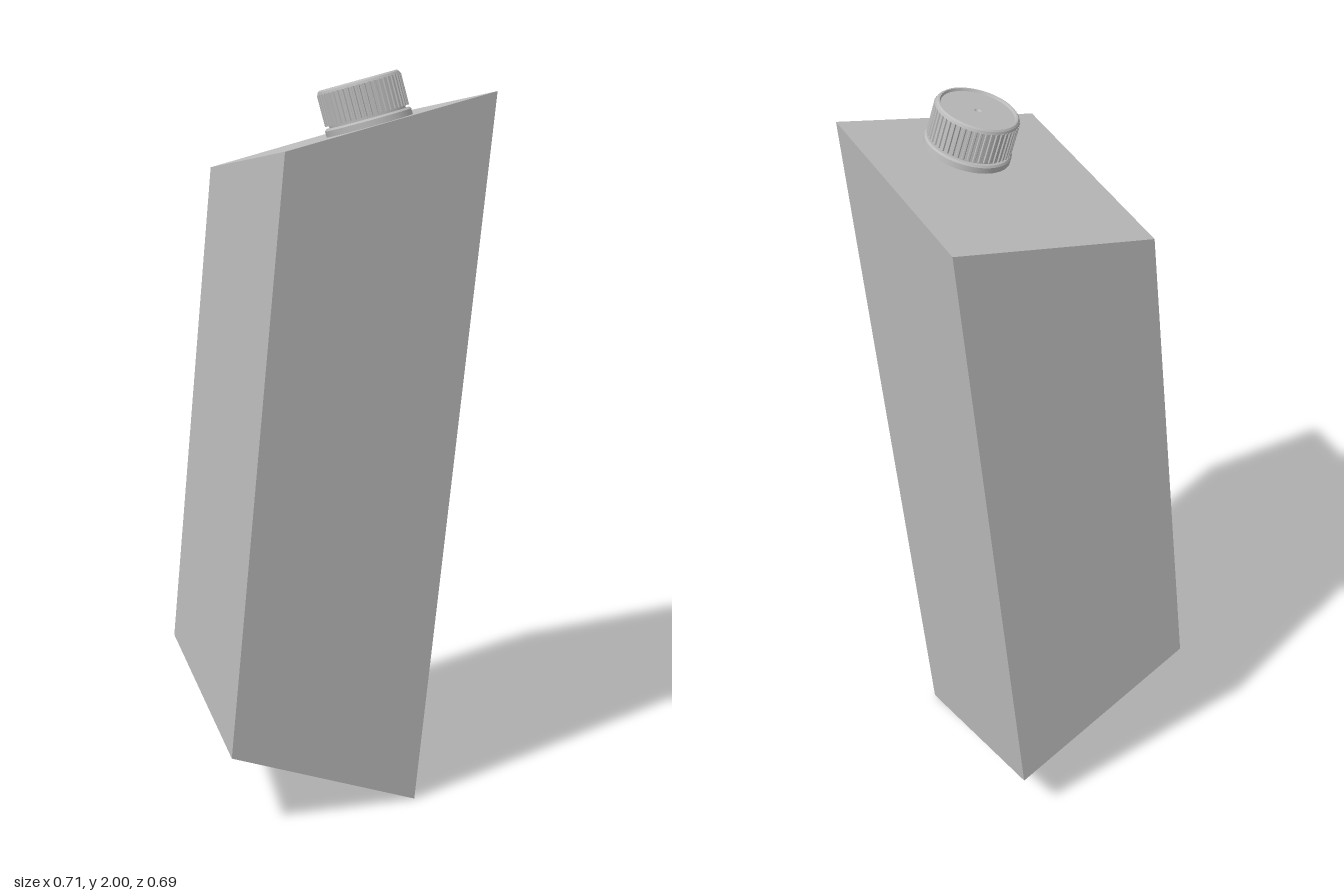
import * as THREE from 'three';

// Corner points of the leaning carton: [left/right][back/front] at the bottom and the top
const BOTTOM = {
  '-1,1': [-0.357, 0.225, 0.257], '1,1': [0.19, 0, 0.23],
  '1,-1': [0.222, 0.155, -0.345], '-1,-1': [-0.327, 0.37, -0.317],
};
const TOP = {
  '-1,1': [-0.232, 1.815, 0.343], '1,1': [0.345, 1.945, 0.333],
  '1,-1': [0.355, 1.855, -0.253], '-1,-1': [-0.22, 1.723, -0.243],
};

// Box whose eight corners are moved to the carton's corners
function cartonGeometry() {
  const geo = new THREE.BoxGeometry(2, 2, 2);
  const p = geo.attributes.position;
  for (let i = 0; i < p.count; i++) {
    const corners = p.getY(i) > 0 ? TOP : BOTTOM;
    p.setXYZ(i, ...corners[`${Math.sign(p.getX(i))},${Math.sign(p.getZ(i))}`]);
  }
  geo.computeVertexNormals();
  return geo;
}

// Gear-like ring of grip ribs around the cap
function ribGeometry(count, inner, outer, height) {
  const shape = new THREE.Shape();
  const step = (Math.PI * 2) / count;
  for (let i = 0; i < count; i++) {
    [[0, inner], [0.42, inner], [0.55, outer], [0.87, outer]].forEach(([f, r], k) => {
      const a = (i + f) * step;
      shape[i + k ? 'lineTo' : 'moveTo'](Math.cos(a) * r, Math.sin(a) * r);
    });
  }
  shape.closePath();
  const hole = new THREE.Path();
  hole.absarc(0, 0, 0.1, 0, Math.PI * 2, true);
  shape.holes.push(hole);
  return new THREE.ExtrudeGeometry(shape, { depth: height, bevelEnabled: false, curveSegments: 24 })
    .rotateX(-Math.PI / 2);
}

// Lathe with a hard edge at every profile point
function creasedLathe(points, segments, group, name, material) {
  const part = new THREE.Group();
  part.name = name;
  for (let i = 0; i < points.length - 1; i++) {
    const pair = [points[i], points[i + 1]].map(([r, y]) => new THREE.Vector2(r, y));
    const mesh = new THREE.Mesh(new THREE.LatheGeometry(pair, segments), material);
    mesh.name = `${name}Band${i + 1}`;
    part.add(mesh);
  }
  group.add(part);
}

export function createModel() {
  const grey = new THREE.MeshStandardMaterial({ color: 0xbcbcbc });
  grey.name = 'plain grey';

  const model = new THREE.Group();
  model.name = 'carton';

  const body = new THREE.Mesh(cartonGeometry(), grey);
  body.name = 'cartonBody';
  model.add(body);

  // Screw cap standing square on the slanted top
  const cap = new THREE.Group();
  cap.name = 'screwCap';
  cap.position.set(0.06, 1.857, 0.185);
  cap.quaternion.setFromUnitVectors(
    new THREE.Vector3(0, 1, 0),
    new THREE.Vector3(-0.22, 0.963, -0.151).normalize(),
  );
  model.add(cap);

  // Spout flange under the cap
  creasedLathe([[0.113, -0.01], [0.113, 0.015], [0.109, 0.02], [0.1, 0.02], [0.1, 0.027]], 64, cap, 'spoutFlange', grey);

  const ribs = new THREE.Mesh(ribGeometry(48, 0.1065, 0.11, 0.081), grey);
  ribs.name = 'gripRibs';
  ribs.position.y = 0.026;
  cap.add(ribs);

  // Chamfered rim, shallow recess and centre dimple
  creasedLathe([
    [0.1085, 0.106], [0.106, 0.113], [0.102, 0.117], [0.098, 0.117],
    [0.095, 0.111], [0.009, 0.111], [0.006, 0.108], [0, 0.107],
  ], 64, cap, 'capTop', grey);

  return model;
}
